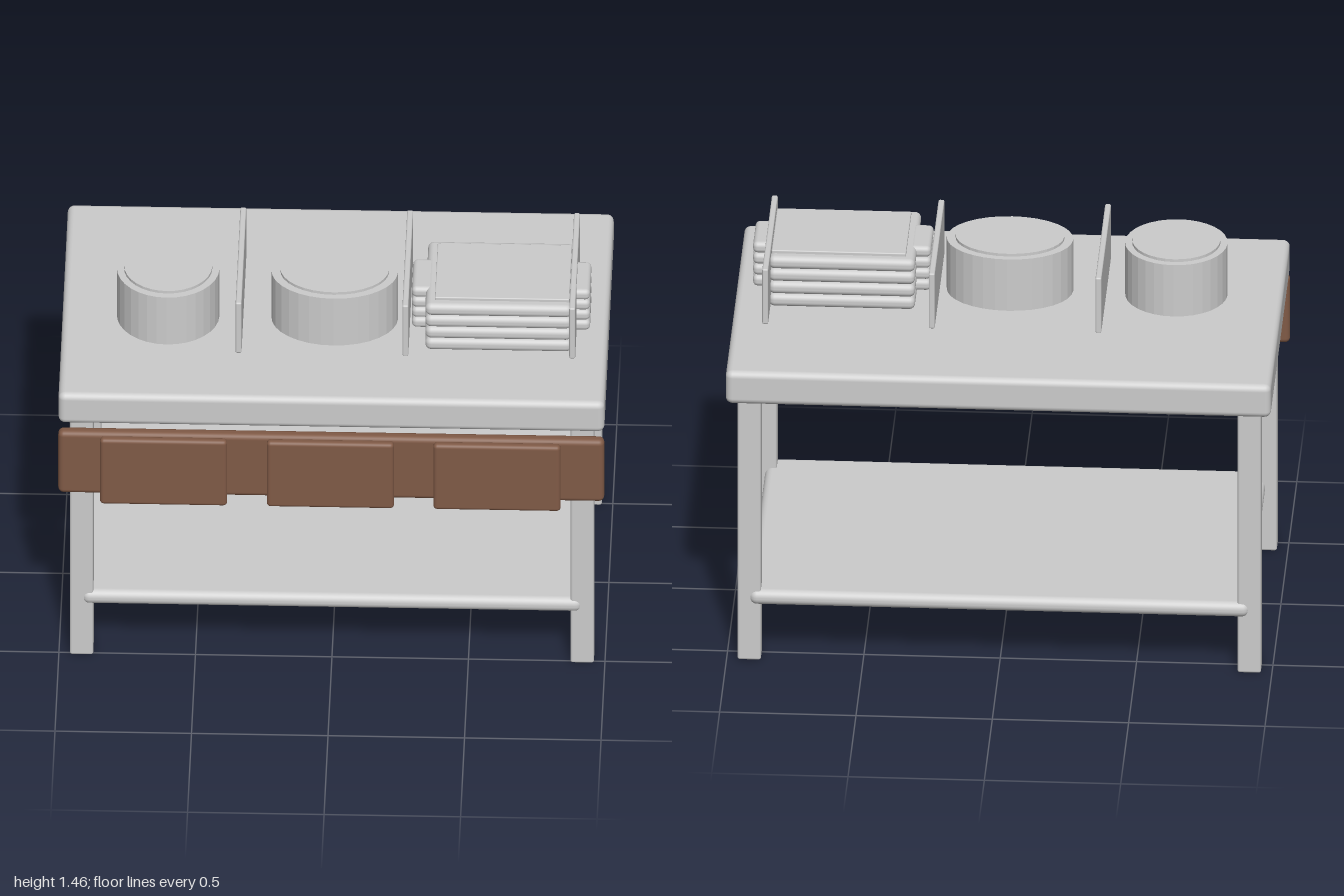
import * as THREE from 'three';
import { RoundedBoxGeometry } from 'three/addons/geometries/RoundedBoxGeometry.js';

export function createModel() {
  const model = new THREE.Group();
  model.name = 'kitchenTable';

  const grey = new THREE.MeshStandardMaterial({ color: 0xcccccc });
  grey.name = 'light grey';
  const brown = new THREE.MeshStandardMaterial({ color: 0x805a46 });
  brown.name = 'brown wood';

  // Rounded slab given by its extents on each axis
  function slab(name, material, [x0, x1], [y0, y1], [z0, z1], radius, parent = model) {
    const geometry = new RoundedBoxGeometry(x1 - x0, y1 - y0, z1 - z0, 3, radius);
    const mesh = new THREE.Mesh(geometry, material);
    mesh.position.set((x0 + x1) / 2, (y0 + y1) / 2, (z0 + z1) / 2);
    mesh.name = name;
    parent.add(mesh);
    return mesh;
  }

  // Faceted upright cylinder, optionally oval
  function drum(name, rx, rz, y0, y1, parent) {
    const geometry = new THREE.CylinderGeometry(1, 1, y1 - y0, 32).scale(rx, 1, rz).toNonIndexed();
    geometry.computeVertexNormals();
    const mesh = new THREE.Mesh(geometry, grey);
    mesh.position.y = (y0 + y1) / 2;
    mesh.name = name;
    parent.add(mesh);
  }

  // Table top, lower shelf and four legs
  slab('tableTop', grey, [-1, 1], [1.08, 1.213], [-0.64, 0.58], 0.025);
  slab('lowerShelf', grey, [-0.917, 0.917], [0.23, 0.29], [-0.583, 0.523], 0.028);
  for (const x of [-0.917, 0.917]) {
    for (const [name, z] of [['frontLeg', 0.472], ['backLeg', -0.528]]) {
      slab(name, grey, [x - 0.043, x + 0.043], [0.003, 1.1], [z - 0.043, z + 0.043], 0.009);
    }
  }

  // Front rail with three raised panels
  slab('frontRail', brown, [-1, 1], [0.788, 1.062], [0.557, 0.606], 0.02);
  for (const x of [-0.613, -0.002, 0.608]) {
    slab('frontPanel', brown, [x - 0.233, x + 0.233], [0.77, 1.06], [0.61, 0.645], 0.0145);
  }

  // Round pot and oval pot, each with a slightly smaller lid
  for (const [name, x, rx, rz] of [['roundPot', -0.612, 0.188, 0.188], ['ovalPot', -0.002, 0.232, 0.177]]) {
    const pot = new THREE.Group();
    pot.name = name;
    pot.position.set(x, 0, 0.077);
    drum('potBody', rx, rz, 1.225, 1.435, pot);
    drum('potLid', rx * 0.86, rz * 0.86, 1.43, 1.446, pot);
    model.add(pot);
  }

  // Upright dividers between the places
  for (const x of [-0.347, 0.264, 0.875]) {
    slab('divider', grey, [x - 0.011, x + 0.011], [1.235, 1.46], [-0.283, 0.328], 0.006);
  }

  // Stack of four trays with a handle at each end
  const stack = new THREE.Group();
  stack.name = 'trayStack';
  model.add(stack);
  for (let i = 0; i < 4; i++) {
    const y = 1.23 + i * 0.051;
    const h = 1.254 + i * 0.0452;
    slab('tray', grey, [0.335, 0.872], [y, y + 0.051], [-0.133, 0.287], 0.022, stack);
    slab('rightHandle', grey, [0.283, 0.362], [h, h + 0.044], [-0.018, 0.179], 0.018, stack);
    slab('leftHandle', grey, [0.86, 0.936], [h, h + 0.044], [-0.018, 0.179], 0.018, stack);
  }
  slab('topTrayCover', grey, [0.37, 0.862], [1.42, 1.446], [-0.096, 0.25], 0.004, stack);

  return model;
}
